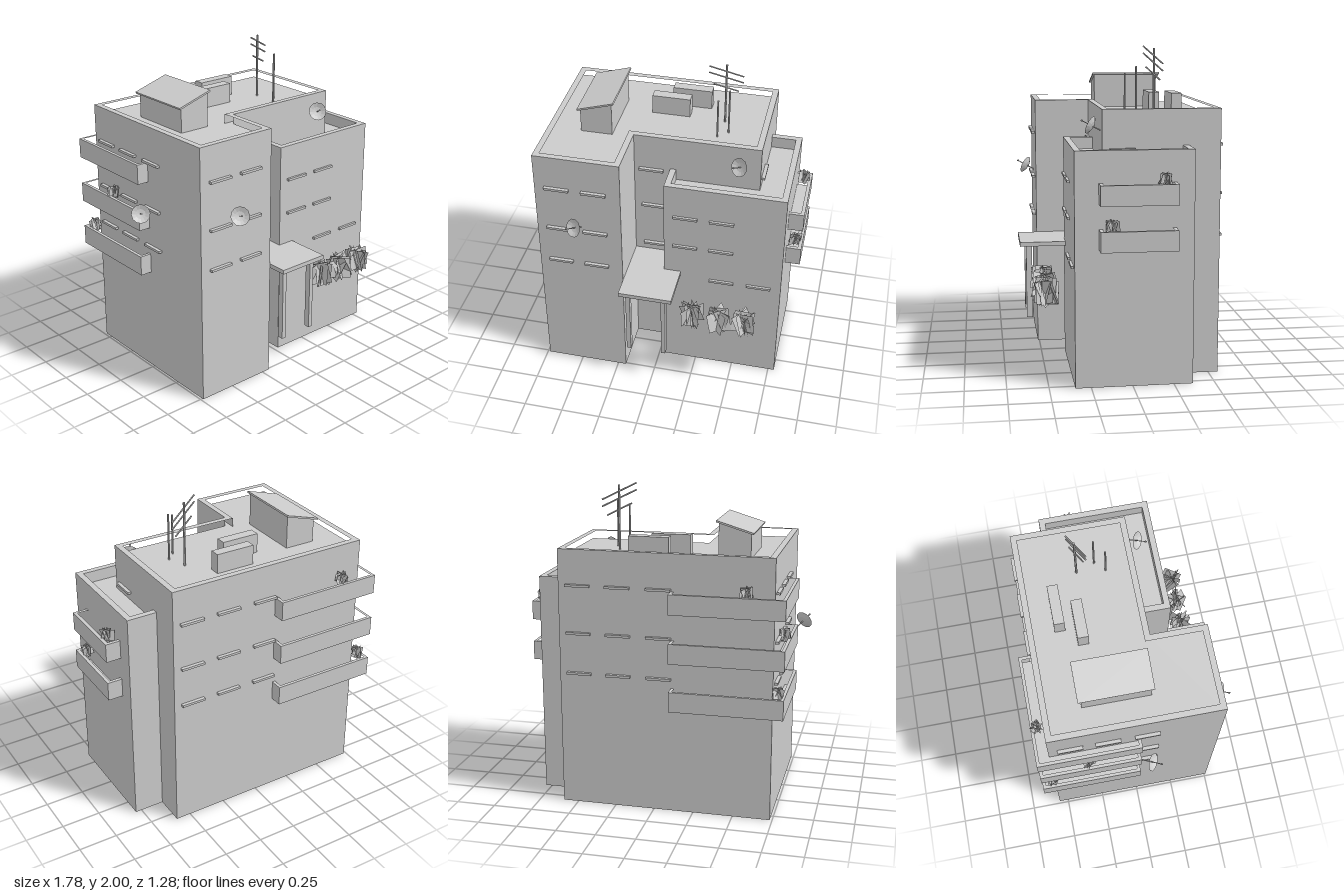
import * as THREE from 'three';
import { mergeGeometries } from 'three/addons/utils/BufferGeometryUtils.js';

const mat = new THREE.MeshStandardMaterial({ color: 0xcccccc, flatShading: true });
const thinMat = new THREE.MeshStandardMaterial({ color: 0xcccccc, flatShading: true, side: THREE.DoubleSide });

let seed = 7;
const rand = () => (seed = (seed * 16807) % 2147483647) / 2147483647;
const spread = (r) => (rand() * 2 - 1) * r;

const rect = (x0, x1, z0, z1) => [[x0, z0], [x1, z0], [x1, z1], [x0, z1]];

// Extrude a floor plan of [x, z] points from y0 to y1, with an optional hole
function prism(plan, y0, y1, hole) {
  const pts = (p) => p.map(([x, z]) => new THREE.Vector2(x, -z));
  const shape = new THREE.Shape(pts(plan));
  if (hole) shape.holes.push(new THREE.Path(pts(hole)));
  const g = new THREE.ExtrudeGeometry(shape, { depth: y1 - y0, bevelEnabled: false });
  return g.rotateX(-Math.PI / 2).translate(0, y0, 0);
}

function box(x0, x1, y0, y1, z0, z1) {
  const g = new THREE.BoxGeometry(x1 - x0, y1 - y0, z1 - z0);
  return g.translate((x0 + x1) / 2, (y0 + y1) / 2, (z0 + z1) / 2);
}

// Round bar between two points
function bar(a, b, r, sides = 6) {
  const A = new THREE.Vector3(...a), B = new THREE.Vector3(...b);
  const dir = B.clone().sub(A);
  const g = new THREE.CylinderGeometry(r, r, dir.length(), sides);
  g.applyQuaternion(new THREE.Quaternion().setFromUnitVectors(new THREE.Vector3(0, 1, 0), dir.normalize()));
  const m = A.add(B).multiplyScalar(0.5);
  return g.translate(m.x, m.y, m.z);
}

export function createModel() {
  seed = 7;
  const model = new THREE.Group();
  model.name = 'apartmentBuilding';
  const add = (name, geo, material = mat, parent = model) => {
    const mesh = new THREE.Mesh(geo, material);
    mesh.name = name;
    parent.add(mesh);
    return mesh;
  };

  // Walls: hollow-topped blocks whose rims form the roof parapets
  const block = (name, plan, inner, roofY, topY) => {
    add(name + 'Body', prism(plan, 0, roofY));
    add(name + 'Parapet', prism(plan, roofY, topY, inner));
  };
  block('mainBlock',
    [[-0.735, -0.56], [0.597, -0.56], [0.597, 0.16], [-0.197, 0.16], [-0.197, 0.51], [-0.735, 0.51]],
    [[-0.697, -0.522], [0.559, -0.522], [0.559, 0.122], [-0.235, 0.122], [-0.235, 0.472], [-0.697, 0.472]],
    1.58, 1.64);
  // The annex parapet ends against the main block
  add('annexBody', prism(rect(0.032, 0.79, -0.365, 0.345), 0, 1.345));
  add('annexParapet', prism(
    [[0.58, -0.365], [0.79, -0.365], [0.79, 0.345], [0.032, 0.345], [0.032, 0.15], [0.07, 0.15],
      [0.07, 0.307], [0.752, 0.307], [0.752, -0.327], [0.58, -0.327]], 1.345, 1.42));

  // Balconies: open troughs reaching slightly into the walls
  const balcony = (name, outer, inner, y0, y1) => {
    add(name + 'Floor', prism(outer, y0, y0 + 0.02));
    add(name + 'Wall', prism(outer, y0 + 0.02, y1, inner));
  };
  for (const y of [0.68, 0.982, 1.285])
    balcony('cornerBalcony',
      [[-0.81, -0.64], [-0.11, -0.64], [-0.11, -0.54], [-0.715, -0.54], [-0.715, 0], [-0.81, 0]],
      [[-0.79, -0.62], [-0.13, -0.62], [-0.13, -0.555], [-0.73, -0.555], [-0.73, -0.02], [-0.79, -0.02]],
      y, y + 0.125);
  for (const y of [0.837, 1.107])
    balcony('sideBalcony', rect(0.77, 0.885, -0.255, 0.203), rect(0.785, 0.863, -0.233, 0.181), y, y + 0.122);

  // Window sills, 0.155 long, on each facade
  const sills = [];
  const L = 0.155, H = 0.015;
  const sillX = (x, y, z, d) => sills.push(box(x, x + L, y - H / 2, y + H / 2, z - d, z + d));
  const sillZ = (x, y, z, d) => sills.push(box(x - d, x + d, y - H / 2, y + H / 2, z, z + L));
  for (const y of [0.862, 1.118, 1.418]) {
    for (const x of [-0.672, -0.44]) sillX(x, y, 0.51, 0.022);
    for (const x of [-0.11, 0.145, 0.395]) sillX(x, y, -0.56, 0.022);
    for (const z of [-0.505, -0.275, -0.035]) sillZ(-0.735, y, z, 0.022);
  }
  for (const [x, y] of [[-0.165, 1.4], [-0.15, 1.123], [-0.14, 0.815]]) sillX(x, y, 0.16, 0.022);
  for (const [x, y] of [[0.09, 1.195], [0.32, 1.195], [0.09, 0.968], [0.32, 0.968], [0.33, 0.72], [0.57, 0.72]])
    sillX(x, y, 0.345, 0.016);
  sillZ(0.597, 1.4, -0.04, 0.022);
  add('windowSills', mergeGeometries(sills));

  // Entrance canopy on two posts
  add('canopy', box(-0.197, 0.143, 0.73, 0.757, 0.15, 0.635));
  for (const x of [-0.148, 0.082]) add('canopyPost', box(x - 0.014, x + 0.014, 0.25, 0.73, 0.557, 0.595));

  // Stair house with a sloping roof slab
  const slope = (name, pts, z0, z1) => {
    const s = new THREE.Shape(pts.map((p) => new THREE.Vector2(...p)));
    add(name, new THREE.ExtrudeGeometry(s, { depth: z1 - z0, bevelEnabled: false }).translate(0, 0, z0));
  };
  slope('stairHouse', [[-0.55, 1.58], [-0.35, 1.58], [-0.35, 1.797], [-0.55, 1.737]], -0.32, 0.1);
  slope('stairHouseRoof', [[-0.566, 1.73], [-0.335, 1.8], [-0.338, 1.811], [-0.569, 1.741]], -0.34, 0.112);

  // Roof vents
  add('roofVent', box(-0.165, 0.08, 1.58, 1.705, -0.27, -0.203));
  add('roofVent', box(-0.055, 0.197, 1.58, 1.705, -0.393, -0.328));

  // Aerials: one mast with three slanting bars and two plain poles
  const aerial = new THREE.Group();
  aerial.name = 'aerials';
  model.add(aerial);
  add('mast', bar([0.307, 1.58, -0.197], [0.307, 1.99, -0.197], 0.007), mat, aerial);
  add('pole', bar([0.29, 1.58, -0.018], [0.29, 1.84, -0.018], 0.006), mat, aerial);
  add('pole', bar([0.35, 1.58, -0.08], [0.35, 1.88, -0.08], 0.006), mat, aerial);
  for (const [y, h] of [[1.948, 0.1], [1.905, 0.1], [1.835, 0.072]])
    add('crossbar', bar([0.308 - h, y + h / 2, -0.19 + h * 0.44], [0.308 + h, y - h / 2, -0.19 - h * 0.44], 0.005), mat, aerial);

  // Satellite dishes: shallow bowl, feed arm and wall bracket
  const dish = (x, y, z) => {
    const g = new THREE.Group();
    g.name = 'satelliteDish';
    const profile = [[0, -0.012], [0.03, -0.007], [0.058, 0.008]].map((p) => new THREE.Vector2(...p));
    add('bowl', new THREE.LatheGeometry(profile, 12), thinMat, g);
    add('feedArm', bar([0, -0.01, 0], [0, 0.07, 0], 0.003), mat, g);
    add('feedTip', bar([0, 0.064, 0], [0, 0.074, 0], 0.006), mat, g);
    add('bracket', bar([0, -0.07, 0], [0, -0.01, 0], 0.004), mat, g);
    g.quaternion.setFromUnitVectors(new THREE.Vector3(0, 1, 0), new THREE.Vector3(-0.46, 0.4, 0.79).normalize());
    g.position.set(x, y, z);
    model.add(g);
  };
  dish(0.473, 1.533, 0.21);
  dish(-0.482, 1.173, 0.56);
  dish(-0.838, 1.122, 0.058);

  // Bushes and balcony plants: crossed leaf cards leaning outwards
  const plant = (name, x, y, z, size) => {
    const cards = [];
    for (let i = 0; i < 10; i++) {
      const c = new THREE.PlaneGeometry(size * (0.55 + rand() * 0.25), size * (0.7 + rand() * 0.2));
      c.rotateZ(spread(0.3)).rotateX(spread(0.4)).rotateY(i * 0.63 + spread(0.3));
      cards.push(c.translate(spread(0.12) * size, spread(0.06) * size, spread(0.12) * size));
    }
    add(name, mergeGeometries(cards).translate(x, y, z), thinMat);
  };
  for (const x of [0.247, 0.42, 0.598]) plant('bush', x, 0.548, 0.503, 0.175);
  for (const [x, y, z] of [[0.837, 1.25, -0.18], [0.837, 0.98, 0.13], [-0.575, 1.43, -0.603],
    [-0.767, 1.125, -0.335], [-0.767, 0.825, -0.57]])
    plant('balconyPlant', x, y, z, 0.09);

  return model;
}
